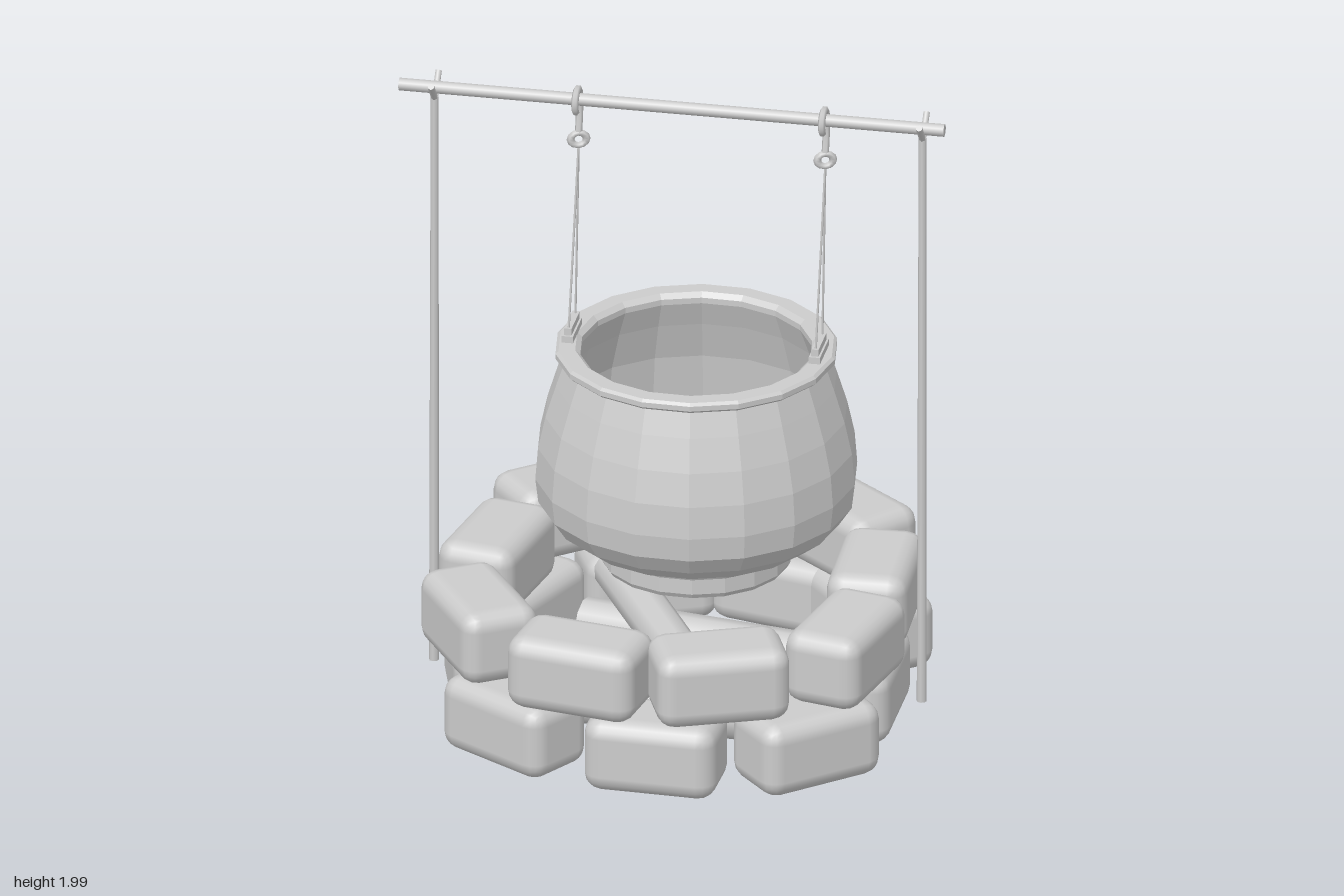
import * as THREE from 'three';
import { RoundedBoxGeometry } from 'three/addons/geometries/RoundedBoxGeometry.js';

const smooth = new THREE.MeshStandardMaterial({ color: 0xcccccc });
const faceted = new THREE.MeshStandardMaterial({ color: 0xcccccc, flatShading: true });
const V = (x, y, z) => new THREE.Vector3(x, y, z);
const BAR_Z = 0.065;

function add(parent, name, geometry, material = smooth) {
  const mesh = new THREE.Mesh(geometry, material);
  mesh.name = name;
  parent.add(mesh);
  return mesh;
}

// Straight round rod between two points
function rod(parent, name, a, b, r, sides = 8, rEnd = r) {
  const dir = b.clone().sub(a);
  const mesh = add(parent, name, new THREE.CylinderGeometry(rEnd, r, dir.length(), sides));
  mesh.position.copy(a).add(b).multiplyScalar(0.5);
  mesh.quaternion.setFromUnitVectors(V(0, 1, 0), dir.normalize());
}

// Ring of stones: each entry is x, z and turn in degrees (seen from above)
function stoneRing(parent, name, y, stones) {
  const ring = new THREE.Group();
  ring.name = name;
  const geometry = new RoundedBoxGeometry(0.4, 0.232, 0.242, 2, 0.055);
  for (const [x, z, turn] of stones) {
    const stone = add(ring, 'stone', geometry);
    stone.position.set(x, y, z);
    stone.rotation.y = -THREE.MathUtils.degToRad(turn);
  }
  parent.add(ring);
}

function buildPot(parent) {
  const profile = [
    [0, 0.503], [0.275, 0.503], [0.284, 0.518], [0.284, 0.565], [0.292, 0.58],
    [0.37, 0.61], [0.432, 0.658], [0.47, 0.715], [0.479, 0.79], [0.471, 0.89],
    [0.449, 0.99], [0.418, 1.09], [0.39, 1.172], [0.41, 1.172], [0.419, 1.18], [0.419, 1.196],
    [0.41, 1.204], [0.36, 1.204], [0.345, 1.19], [0.345, 1.172], [0.375, 1.09], [0.41, 0.97],
    [0.43, 0.8], [0.4, 0.7], [0.33, 0.64], [0.225, 0.61], [0, 0.61],
  ].map(([r, y]) => new THREE.Vector2(r, y));
  const pot = add(parent, 'pot', new THREE.LatheGeometry(profile, 18, 0.15), faceted);
  pot.position.set(0.074, 0, 0.07);
}

// Hook over the bar, ring, two cords and the lug on the pot rim
function buildHanger(parent, x, lugX) {
  const hanger = new THREE.Group();
  hanger.name = 'hanger';
  const pts = [];
  for (let i = 0; i <= 8; i++) {
    const a = -0.9 + (i / 8) * 4.1;
    pts.push(V(x, 1.962 + 0.036 * Math.sin(a), BAR_Z + 0.036 * Math.cos(a)));
  }
  pts.push(V(x, 1.91, 0.03), V(x, 1.85, 0.045));
  add(hanger, 'hook', new THREE.TubeGeometry(new THREE.CatmullRomCurve3(pts), 28, 0.011, 6));
  const ring = add(hanger, 'ring', new THREE.TorusGeometry(0.024, 0.012, 6, 12));
  ring.position.set(x, 1.828, 0.045);
  ring.rotation.y = 0.35;
  ring.scale.y = 0.85;
  for (const z of [0.125, 0.02]) {
    rod(hanger, 'cord', V(x, 1.81, 0.045), V(lugX, 1.22, z), 0.0035, 5);
  }
  const lug = add(hanger, 'lug', new THREE.BoxGeometry(0.034, 0.03, 0.14));
  lug.position.set(lugX, 1.21, 0.07);
  const cap = add(hanger, 'lugCap', new THREE.BoxGeometry(0.022, 0.022, 0.125));
  cap.position.set(lugX, 1.236, 0.07);
  parent.add(hanger);
}

export function createModel() {
  const model = new THREE.Group();
  model.name = 'campfireCauldron';

  // Fire ring, two staggered courses
  stoneRing(model, 'lowerStones', 0.136, [
    [0.21, -0.585, 14], [0.505, -0.4, 50], [0.565, 0.06, 90], [0.485, 0.47, -42], [0.06, 0.61, 2],
    [-0.388, 0.5, 32], [-0.53, 0.16, 74], [-0.52, -0.25, 112], [-0.2, -0.545, -24],
  ]);
  stoneRing(model, 'upperStones', 0.365, [
    [-0.43, -0.495, -40], [-0.03, -0.62, -5], [0.42, -0.495, 40], [0.575, -0.12, 88], [0.57, 0.31, 103],
    [0.24, 0.57, -22], [-0.17, 0.595, 10], [-0.525, 0.345, 57], [-0.56, -0.1, 101],
  ]);

  // Firewood
  rod(model, 'log', V(0.5, 0.1, -0.12), V(-0.33, 0.095, -0.27), 0.08, 10);
  rod(model, 'log', V(0.36, 0.12, 0.32), V(-0.45, 0.095, 0.23), 0.072, 10);
  rod(model, 'log', V(-0.245, 0.26, -0.32), V(0.2, 0.2, 0.42), 0.07, 10);

  buildPot(model);

  // Support frame: bar on two forked posts
  rod(model, 'crossbar', V(-0.82, 1.967, BAR_Z), V(0.82, 1.967, BAR_Z), 0.019, 10);
  for (const [top, foot] of [[-0.713, -0.715], [0.755, 0.752]]) {
    rod(model, 'post', V(foot, 0.1, 0.07), V(top, 1.94, 0.07), 0.015, 8, 0.012);
    for (const s of [-1, 1]) {
      rod(model, 'postFork', V(top, 1.93, 0.067), V(top, 1.995, 0.067 + s * 0.058), 0.01, 6);
    }
  }

  buildHanger(model, -0.285, -0.3);
  buildHanger(model, 0.457, 0.443);
  return model;
}
